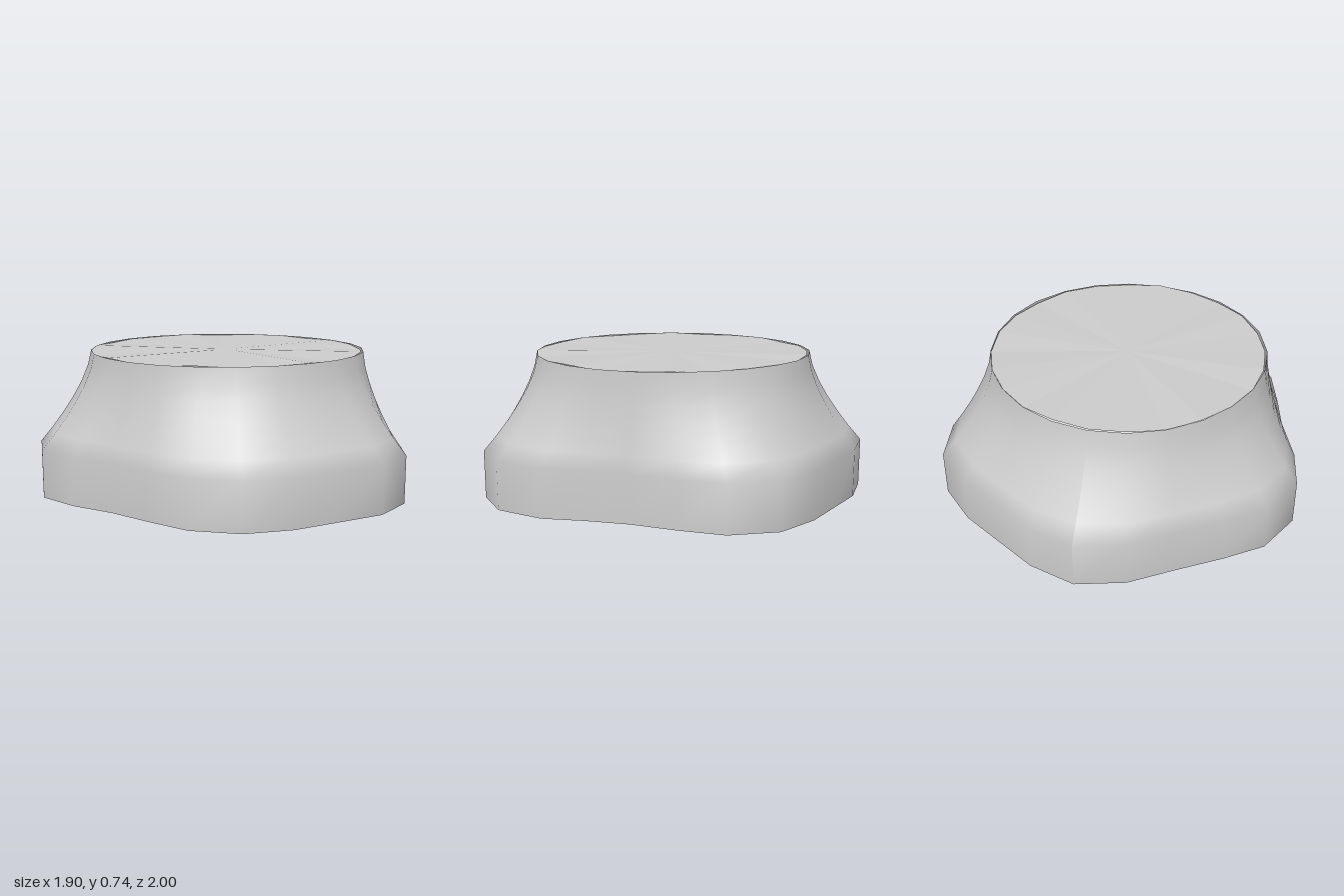
import * as THREE from 'three';

// Plan of the flared skirt, clockwise from the back seam (x, z)
const OUTLINE = [
  [0.02, -1.0], [0.27, -0.93], [0.49, -0.80], [0.71, -0.67], [0.90, -0.49], [0.95, -0.23],
  [0.87, 0.0], [0.77, 0.23], [0.71, 0.45], [0.67, 0.67], [0.52, 0.90], [0.28, 1.0],
  [0.02, 0.985], [-0.24, 0.97], [-0.48, 0.89], [-0.66, 0.70], [-0.74, 0.45], [-0.80, 0.23],
  [-0.90, 0.0], [-0.95, -0.24], [-0.84, -0.48], [-0.66, -0.62], [-0.44, -0.77], [-0.23, -0.92],
];
const N = OUTLINE.length;
const CX = 0.02, CZ = 0.02, R = 0.72;
const SHOULDER = 0.25, TOP = 0.738;

// Point on the round rim, starting at the back
function rim(i, r) {
  const a = (i / N) * Math.PI * 2;
  return [CX + r * Math.sin(a), CZ - r * Math.cos(a)];
}

// Straight band below, concave flare above, closing to the round rim
function wallGeometry() {
  const rows = [[0, 0.99], [SHOULDER, 1]];
  for (let k = 1; k <= 6; k++) {
    const t = k / 6;
    rows.push([SHOULDER + (TOP - SHOULDER) * t, Math.pow(1 - t, 1.5)]);
  }
  const pos = [], idx = [];
  rows.forEach(([y, f]) => {
    for (let i = 0; i <= N; i++) { // the repeated column leaves a crisp back seam
      const [ox, oz] = OUTLINE[i % N];
      const [rx, rz] = rim(i, R + 0.006 + 0.006 * Math.cos(i * Math.PI / 4));
      pos.push(rx + (ox - rx) * f, y, rz + (oz - rz) * f);
    }
  });
  const w = N + 1;
  for (let j = 0; j < rows.length - 1; j++) {
    for (let i = 0; i < N; i++) {
      const a = j * w + i, b = a + 1, c = a + w, d = c + 1;
      idx.push(a, c, b, b, c, d);
    }
  }
  const g = new THREE.BufferGeometry();
  g.setAttribute('position', new THREE.Float32BufferAttribute(pos, 3));
  g.setIndex(idx);
  g.computeVertexNormals();
  return g;
}

// Fan of facets with a very slightly uneven edge
function capGeometry() {
  const pos = [];
  const edge = (i) => {
    const [x, z] = rim(i, R);
    return [x, 0.735 + 0.005 * Math.sin((i % N) * 2.2), z];
  };
  for (let i = 0; i < N; i++) pos.push(CX, 0.735, CZ, ...edge(i + 1), ...edge(i));
  const g = new THREE.BufferGeometry();
  g.setAttribute('position', new THREE.Float32BufferAttribute(pos, 3));
  g.computeVertexNormals();
  return g;
}

export function createModel() {
  const group = new THREE.Group();
  group.name = 'flaredBase';
  const grey = new THREE.MeshStandardMaterial({ color: 0xcccccc, side: THREE.DoubleSide });
  grey.name = 'light grey';

  const wall = new THREE.Mesh(wallGeometry(), grey);
  wall.name = 'wall';
  const cap = new THREE.Mesh(capGeometry(), grey);
  cap.name = 'topCap';
  group.add(wall, cap);
  return group;
}
